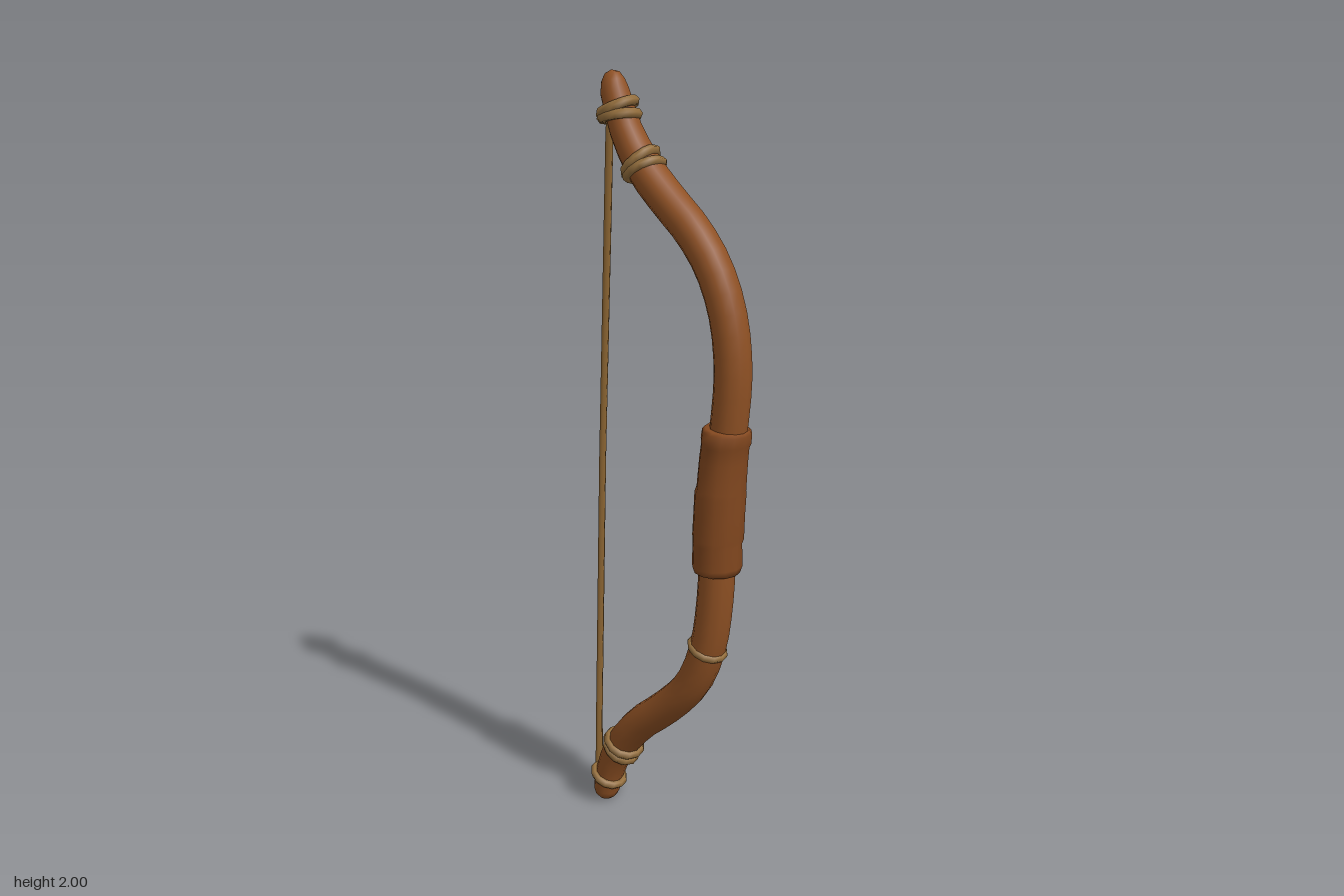
import * as THREE from 'three';

const wood = new THREE.MeshStandardMaterial({ name: 'wood', color: 0x8f5124 });
const leather = new THREE.MeshStandardMaterial({ name: 'gripLeather', color: 0x83481f });
const cord = new THREE.MeshStandardMaterial({ name: 'cord', color: 0x96703e });
const stringFibre = new THREE.MeshStandardMaterial({ name: 'stringFibre', color: 0x8d6633 });

// Sweeps an elliptical section along rows of [x, y, radius, depth radius] in the xy plane
function loft(rows, sides) {
  const pos = [], index = [];
  rows.forEach(([x, y, r, rz = r], i) => {
    const a = rows[Math.max(i - 1, 0)], b = rows[Math.min(i + 1, rows.length - 1)];
    const len = Math.hypot(b[0] - a[0], b[1] - a[1]);
    const nx = (b[1] - a[1]) / len, ny = -(b[0] - a[0]) / len;
    for (let s = 0; s < sides; s++) {
      const t = (s / sides) * Math.PI * 2;
      pos.push(x + nx * r * Math.cos(t), y + ny * r * Math.cos(t), rz * Math.sin(t));
      if (i === 0) continue;
      const s2 = (s + 1) % sides, lo = (i - 1) * sides, hi = i * sides;
      index.push(lo + s, hi + s, lo + s2, lo + s2, hi + s, hi + s2);
    }
  });
  const g = new THREE.BufferGeometry();
  g.setAttribute('position', new THREE.Float32BufferAttribute(pos, 3));
  g.setIndex(index);
  g.computeVertexNormals();
  return g;
}

export function createModel() {
  const bow = new THREE.Group();
  bow.name = 'bow';
  const add = (name, geometry, material) => {
    const mesh = new THREE.Mesh(geometry, material);
    mesh.name = name;
    bow.add(mesh);
    return mesh;
  };

  // Curved stave, bottom to top, with rounded tips
  const path = new THREE.CatmullRomCurve3([
    [-0.218, 0.035], [-0.205, 0.09], [-0.16, 0.185], [-0.09, 0.27], [0, 0.345],
    [0.09, 0.44], [0.14, 0.555], [0.163, 0.7], [0.17, 0.85], [0.182, 1.02],
    [0.203, 1.18], [0.211, 1.3], [0.194, 1.43], [0.15, 1.54], [0.085, 1.625],
    [0, 1.7], [-0.075, 1.775], [-0.13, 1.86], [-0.165, 1.95],
  ].map(([x, y]) => new THREE.Vector3(x, y, 0)), false, 'centripetal');
  const rows = path.getSpacedPoints(44).map((p, i) => {
    const end = Math.min(i, 44 - i);
    const r = Math.min(0.047, 0.036 + end * 0.0025);
    return [p.x, p.y, r, r + 0.002];
  });
  const stave = [
    [-0.221, 0.004, 0.0005], [-0.221, 0.007, 0.02], [-0.22, 0.017, 0.03], ...rows,
    [-0.17, 1.975, 0.03], [-0.173, 1.993, 0.019], [-0.175, 2, 0.0005],
  ];
  add('stave', loft(stave, 12), wood);

  // Leather handle made of slightly uneven turns
  add('grip', loft([
    [0.167, 0.772, 0.03, 0.03], [0.167, 0.773, 0.058, 0.062], [0.168, 0.79, 0.063, 0.069],
    [0.168, 0.85, 0.061, 0.068], [0.17, 0.865, 0.064, 0.071], [0.173, 0.93, 0.063, 0.071],
    [0.176, 0.98, 0.063, 0.072], [0.179, 0.995, 0.06, 0.069], [0.185, 1.07, 0.058, 0.069],
    [0.19, 1.11, 0.057, 0.068], [0.192, 1.12, 0.06, 0.072], [0.195, 1.145, 0.059, 0.07],
    [0.196, 1.152, 0.054, 0.06], [0.196, 1.153, 0.03, 0.03],
  ], 12), leather);

  // Cord bindings: [name, x, y, tilt, ring radius, cord thickness, turns]
  const bindings = [
    ['topBinding', -0.152, 1.9, 0.3, 0.045, 0.014, 2],
    ['upperBinding', -0.075, 1.773, 0.65, 0.047, 0.013, 2],
    ['lowerLimbBinding', 0.139, 0.553, -0.4, 0.045, 0.011, 1],
    ['lowerBinding', -0.157, 0.185, -0.6, 0.045, 0.014, 2],
    ['bottomBinding', -0.209, 0.078, -0.45, 0.042, 0.012, 1],
  ];
  for (const [name, x, y, tilt, radius, thickness, turns] of bindings) {
    const ring = new THREE.Group();
    ring.name = name;
    ring.position.set(x, y, 0);
    ring.rotation.z = tilt;
    for (let i = 0; i < turns; i++) {
      const side = turns === 1 ? 0 : i * 2 - 1;
      const turn = new THREE.Mesh(new THREE.TorusGeometry(radius, thickness, 6, 12), cord);
      turn.name = 'cordTurn';
      turn.position.y = side * 0.011;
      turn.rotation.set(Math.PI / 2 + side * 0.08, side * 0.1, 0);
      ring.add(turn);
    }
    bow.add(ring);
  }

  // Bowstring tied between the end bindings
  add('bowstring', loft([
    [-0.246, 0.075, 0.0005], [-0.246, 0.076, 0.01, 0.012], [-0.243, 0.25, 0.009, 0.01],
    [-0.219, 1, 0.009, 0.01], [-0.183, 1.85, 0.01, 0.011], [-0.178, 1.9, 0.01, 0.011],
    [-0.178, 1.901, 0.0005],
  ], 6), stringFibre);

  return bow;
}
